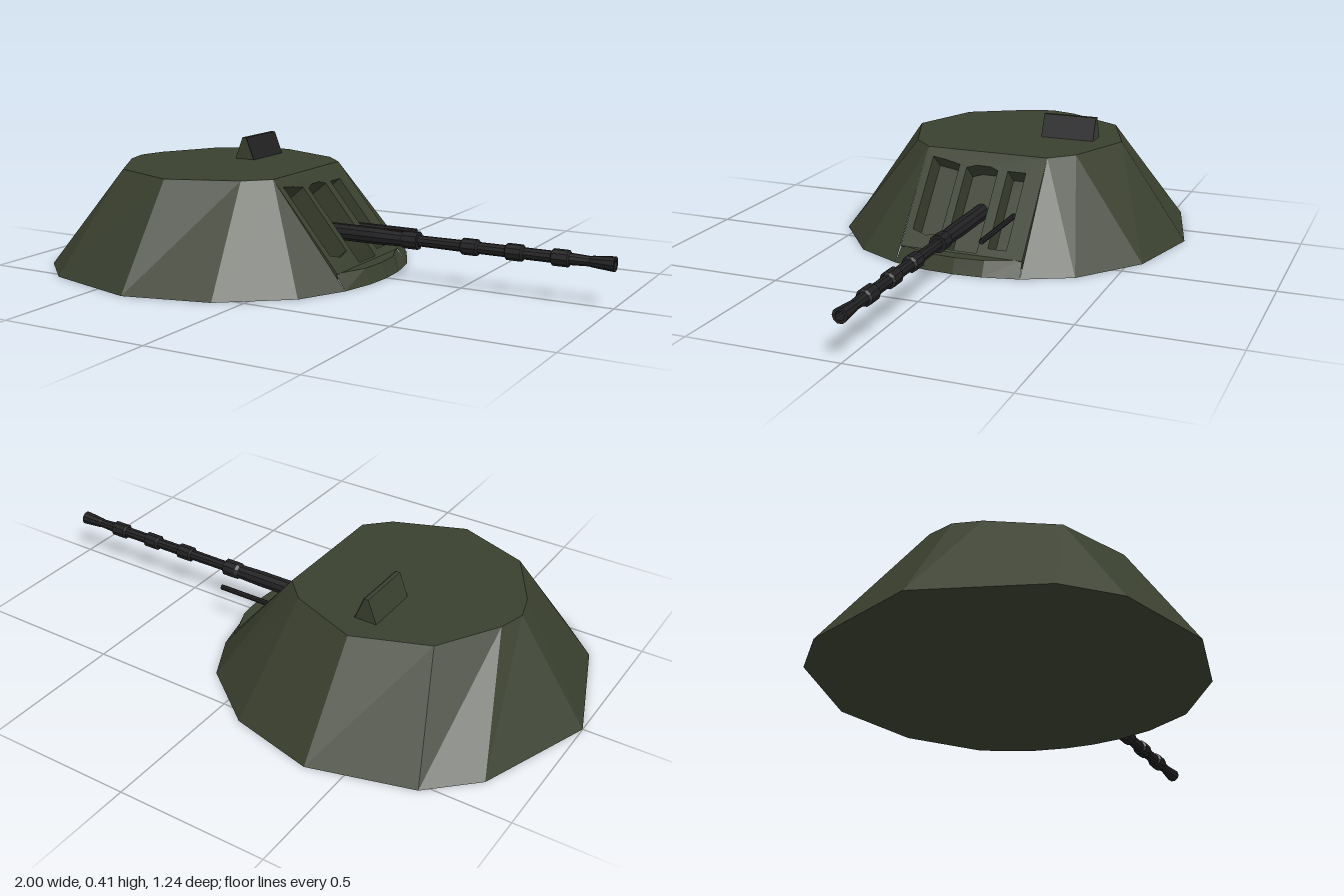
import * as THREE from 'three';

const green = new THREE.MeshStandardMaterial({ color: 0x3a402f });
green.name = 'armourGreen';
const black = new THREE.MeshStandardMaterial({ color: 0x212123 });
black.name = 'gunBlack';

const ROOF = 0.335, LEDGE = 0.05;

function mesh(name, geometry, material, parent) {
  const m = new THREE.Mesh(geometry, material);
  m.name = name;
  parent.add(m);
  return m;
}

function faceted(geometry) {
  const g = geometry.index ? geometry.toNonIndexed() : geometry;
  g.computeVertexNormals();
  return g;
}

// Flat-faced solid between two outlines of [x, z] points, run counterclockwise from above
function frustum(bottom, top, height) {
  const b = bottom.map(([x, z]) => [x, 0, z]);
  const t = top.map(([x, z]) => [x, height, z]);
  const p = [];
  const tri = (...corners) => corners.forEach((c) => p.push(...c));
  for (let i = 0; i < b.length - 1; i++) {
    tri(b[i], b[i + 1], t[i + 1]);
    tri(b[i], t[i + 1], t[i]);
    if (i > 0) {
      tri(t[0], t[i], t[i + 1]);
      tri(b[0], b[i + 1], b[i]);
    }
  }
  const g = new THREE.BufferGeometry();
  g.setAttribute('position', new THREE.Float32BufferAttribute(p, 3));
  g.computeVertexNormals();
  return g;
}

// Completes a half outline that ends on the centre line
const mirrored = (half) => [...half, ...half.slice(0, -1).reverse().map(([x, z]) => [x, -z])];

// Prism along z from a profile in x and y
function prism(points, z0, z1) {
  const shape = new THREE.Shape(points.map(([x, y]) => new THREE.Vector2(x, y)));
  return new THREE.ExtrudeGeometry(shape, { depth: z1 - z0, bevelEnabled: false }).translate(0, 0, z0);
}

// Faceted round part along +x from [x, radius] points
function barrel(profile, sides) {
  const g = new THREE.LatheGeometry(profile.map(([x, r]) => new THREE.Vector2(r, x)), sides);
  return faceted(g.rotateZ(-Math.PI / 2));
}

export function createModel() {
  const model = new THREE.Group();
  model.name = 'turret';

  // Sloped many-sided hull, open where the gun plate sits
  const base = [[0.2, -0.22], [0.12, -0.38], [-0.09, -0.545], [-0.38, -0.618], [-0.715, -0.525], [-0.86, -0.385], [-1, 0]];
  const roof = [[-0.07, -0.215], [-0.07, -0.215], [-0.145, -0.29], [-0.38, -0.382], [-0.62, -0.29], [-0.74, -0.09], [-0.765, 0]];
  mesh('hull', frustum(mirrored(base), mirrored(roof), ROOF), green, model);

  // Low ledge below the gun plate
  const ledgeBase = [[0.2, 0.22], [0.228, 0.1], [0.235, 0]];
  const ledgeTop = [[0.16, 0.213], [0.206, 0.1], [0.215, 0]];
  mesh('frontLedge', frustum(mirrored(ledgeBase), mirrored(ledgeTop), LEDGE), green, model);

  // Gun plate lying on the front slope, with three deep slots
  const foot = new THREE.Vector3(0.168, LEDGE, 0);
  const up = new THREE.Vector3(-0.07, ROOF, 0).sub(foot);
  const length = up.length();
  up.normalize();
  const across = new THREE.Vector3(0, 0, -1);
  const out = new THREE.Vector3().crossVectors(across, up);
  const slope = new THREE.Matrix4().makeBasis(across, up, out).setPosition(foot);
  const onSlope = (u, y) => new THREE.Vector2(u, (y - LEDGE) / up.y);

  const plate = new THREE.Shape([
    new THREE.Vector2(-0.215, 0), new THREE.Vector2(0.215, 0),
    new THREE.Vector2(0.215, length), new THREE.Vector2(-0.215, length),
  ]);
  const slots = [
    [[-0.188, 0.1], [-0.137, 0.087], [-0.085, 0.097], [-0.085, 0.293], [-0.137, 0.302], [-0.188, 0.308]],
    [[-0.058, 0.056], [0.055, 0.056], [0.055, 0.286], [0.025, 0.295], [-0.025, 0.295], [-0.058, 0.286]],
    [[0.09, 0.072], [0.154, 0.072], [0.154, 0.287], [0.09, 0.287]],
  ];
  for (const s of slots) plate.holes.push(new THREE.Path(s.map(([u, y]) => onSlope(u, y))));
  const depth = 0.076;
  const plateGeometry = new THREE.ExtrudeGeometry(plate, { depth, bevelEnabled: false });
  mesh('gunPlate', plateGeometry.translate(0, 0, -depth).applyMatrix4(slope), green, model);

  // Back walls of the slots
  const back = new THREE.PlaneGeometry(0.42, length).translate(0, length / 2, -depth + 0.002);
  mesh('slotBacks', back.applyMatrix4(slope), green, model);

  // Main gun: thick sleeve, ringed barrel and flared muzzle
  const profile = [[-0.04, 0], [-0.04, 0.028], [0.2, 0.028], [0.29, 0.025], [0.3, 0.03], [0.35, 0.03], [0.35, 0.018]];
  for (const x of [0.5, 0.65, 0.8]) {
    profile.push([x, 0.019], [x + 0.005, 0.027], [x + 0.055, 0.027], [x + 0.06, 0.019]);
  }
  profile.push([0.92, 0.016], [0.93, 0.018], [1, 0.024], [1, 0.014], [0.95, 0.012], [0.95, 0]);
  mesh('mainGun', barrel(profile, 10), black, model).position.y = 0.138;

  // Thin gun in the side slot
  const thin = [[-0.04, 0], [-0.04, 0.009], [0.283, 0.009], [0.283, 0]];
  mesh('secondaryGun', barrel(thin, 8), black, model).position.set(0, 0.14, -0.12);

  // Wedge-shaped roof sight with a dark forward face
  const sight = new THREE.Group();
  sight.name = 'roofSight';
  model.add(sight);
  mesh('sightHousing', prism([[-0.422, ROOF], [-0.349, ROOF], [-0.38, 0.412], [-0.392, 0.412]], -0.287, -0.097), green, sight);
  mesh('sightWindow', prism([[-0.349, ROOF], [-0.345, ROOF], [-0.376, 0.412], [-0.38, 0.412]], -0.287, -0.097), black, sight);

  return model;
}
